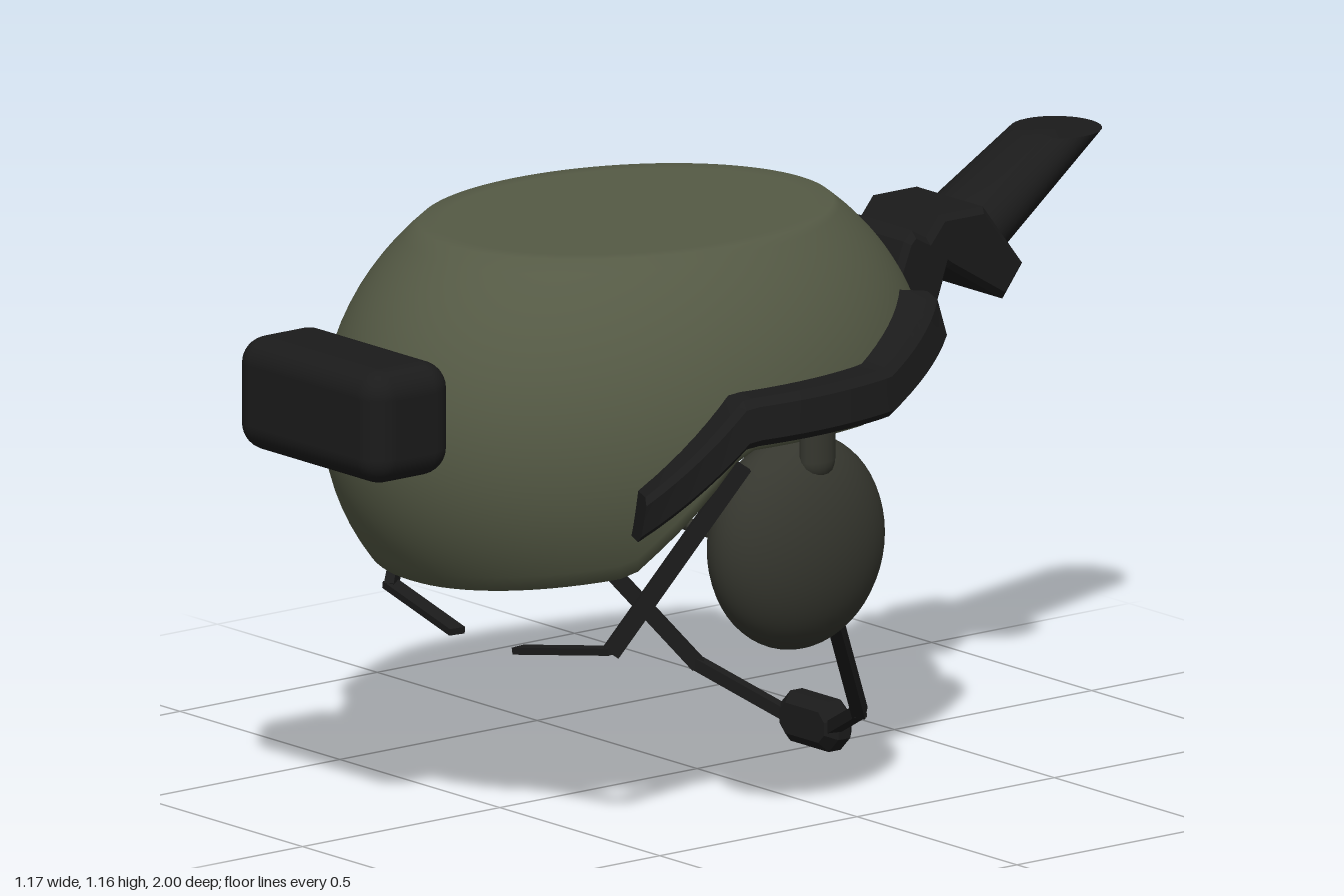
import * as THREE from 'three';
import { toCreasedNormals } from 'three/addons/utils/BufferGeometryUtils.js';
import { RoundedBoxGeometry } from 'three/addons/geometries/RoundedBoxGeometry.js';

const V = (x, y, z) => new THREE.Vector3(x, y, z);
const paint = (color) => new THREE.MeshStandardMaterial({ color });
const olive = paint(0x555a45), darkOlive = paint(0x36372f), black = paint(0x1b1b1b);

// Shell ellipsoid: centre height, centre depth, radii, height of the flat crown
const CY = 0.78, CZ = 0.18, RX = 0.51, RY = 0.52, RZ = 0.65, CROWN = 1.16;

// Piecewise linear lookup through [key, value...] rows with ascending keys
function lookup(rows, k) {
  let i = 0;
  while (i < rows.length - 2 && k > rows[i + 1][0]) i++;
  const t = THREE.MathUtils.clamp((k - rows[i][0]) / (rows[i + 1][0] - rows[i][0]), 0, 1);
  return rows[i].slice(1).map((v, n) => THREE.MathUtils.lerp(v, rows[i + 1][n + 1], t));
}

// Skin a list of closed rings
function loft(rings) {
  const n = rings[0].length, index = [];
  for (let i = 0; i < rings.length - 1; i++) {
    for (let j = 0; j < n; j++) {
      const a = i * n + j, b = i * n + (j + 1) % n;
      index.push(a, a + n, b + n, a, b + n, b);
    }
  }
  const g = new THREE.BufferGeometry().setFromPoints(rings.flat());
  g.setIndex(index);
  g.computeVertexNormals();
  return g;
}

// Close both ends of a loft with a fan
function capped(rings) {
  const fan = (r) => {
    const c = r.reduce((s, p) => s.add(p), V(0, 0, 0)).divideScalar(r.length);
    return r.map(() => c.clone());
  };
  return loft([fan(rings[0]), ...rings, fan(rings[rings.length - 1])]);
}

function add(parent, name, geometry, material, x = 0, y = 0, z = 0) {
  const m = new THREE.Mesh(geometry, material);
  m.name = name;
  m.position.set(x, y, z);
  parent.add(m);
  return m;
}

// Straight bar from a to b, slightly overlapping at the joints
function bar(parent, name, a, b, w, h, material, round = false) {
  const len = a.distanceTo(b) + 0.01;
  const g = round ? new THREE.CylinderGeometry(w / 2, h / 2, len, 12).rotateX(Math.PI / 2)
    : new THREE.BoxGeometry(w, h, len);
  const mid = a.clone().lerp(b, 0.5);
  add(parent, name, g, material, mid.x, mid.y, mid.z).lookAt(b);
}

// Rim height by depth: ear cut-outs raised, brow low, nape high
const RIM = [[-0.47, 0.91], [-0.27, 0.905], [-0.05, 0.787], [0.29, 0.787], [0.44, 0.6], [0.48, 0.54], [0.72, 0.497]];

function shellGeometry() {
  const N = 96, STEPS = 20;
  const azimuths = Array.from({ length: N }, (_, j) => j / N * Math.PI * 2);
  const rimY = azimuths.map((a) => {
    let y = 0.8;
    for (let k = 0; k < 60; k++) {
      const c = Math.sqrt(1 - ((y - CY) / RY) ** 2);
      y = (y + lookup(RIM, CZ + RZ * Math.cos(a) * c)[0]) / 2;
    }
    return y;
  });
  // Rings of one skin, from the middle of the crown down to the rim
  const skin = (inset) => {
    const top = CROWN - inset, ry = RY - inset, rings = [];
    const at = (a, y, f) => {
      const c = f * Math.sqrt(1 - ((y - CY) / ry) ** 2);
      return V((RX - inset) * Math.sin(a) * c, y, CZ + (RZ - inset) * Math.cos(a) * c);
    };
    for (const f of [0, 0.5, 0.9]) rings.push(azimuths.map((a) => at(a, top, f)));
    const p0 = Math.asin((top - CY) / ry);
    for (let i = 0; i <= STEPS; i++) {
      rings.push(azimuths.map((a, j) => {
        const p1 = Math.asin((rimY[j] - CY) / ry);
        return at(a, CY + ry * Math.sin(THREE.MathUtils.lerp(p0, p1, i / STEPS)), 1);
      }));
    }
    return rings;
  };
  return loft([...skin(0), ...skin(0.035).reverse()]);
}

// Side rail: a bevelled section following the shell
function railGeometry(s) {
  const path = [[-0.28, 0.905, 1.0], [-0.04, 0.81, 0.905], [0.31, 0.81, 0.905], [0.51, 0.63, 0.725]];
  const rings = [];
  for (let i = 0; i <= 28; i++) {
    const z = 0.505 - 0.765 * i / 28;
    const [lo, hi] = lookup(path, z);
    const point = (y, off) => {
      const c2 = 1 - ((y - CY) / RY) ** 2 - ((z - CZ) / RZ) ** 2;
      const x = RX * Math.sqrt(c2);
      const n = V(x / RX ** 2, 0, (z - CZ) / RZ ** 2).normalize();
      return V(s * (x + n.x * off), y, z + n.z * off);
    };
    rings.push([point(lo, -0.02), point(lo, 0.055), point(lo + 0.015, 0.07),
      point(hi - 0.015, 0.07), point(hi, 0.055), point(hi, -0.02)]);
  }
  return toCreasedNormals(capped(s > 0 ? rings : rings.reverse()), 0.6);
}

// Solid from a side outline of [z, y] corners, centred across x
function sideBlock(outline, width) {
  const shape = new THREE.Shape(outline.map(([z, y]) => new THREE.Vector2(-z, y)));
  const bevel = 0.012;
  return new THREE.ExtrudeGeometry(shape, {
    depth: width - 2 * bevel, bevelSize: bevel, bevelThickness: bevel, bevelOffset: -bevel, bevelSegments: 1,
  }).translate(0, 0, bevel - width / 2).rotateY(Math.PI / 2);
}

// Flared lamp body, cut off level at the top
function lampGeometry() {
  const ring = (z0, y0, z1, y1, w) => Array.from({ length: 32 }, (_, j) => {
    const t = j / 32 * Math.PI * 2, k = (1 + Math.sin(t)) / 2;
    return V(w * Math.cos(t), THREE.MathUtils.lerp(y0, y1, k), THREE.MathUtils.lerp(z0, z1, k));
  });
  return toCreasedNormals(capped([
    ring(-0.70, 0.91, -0.60, 1.04, 0.1),
    ring(-0.75, 0.955, -0.65, 1.065, 0.1),
    ring(-1.0, 1.158, -0.82, 1.158, 0.092),
  ]), 0.7);
}

export function createModel() {
  const model = new THREE.Group();
  model.name = 'helmet';

  add(model, 'shell', shellGeometry(), olive);
  add(model, 'frontPouch', new RoundedBoxGeometry(0.45, 0.23, 0.21, 4, 0.055), black, 0, 0.88, 0.895);

  // Rear mount and lamp
  add(model, 'rearMount', sideBlock([[-0.385, 0.88], [-0.51, 0.845], [-0.56, 0.985], [-0.46, 1.04], [-0.44, 1.02]], 0.23), black);
  add(model, 'rearClamp', sideBlock([[-0.48, 1.0], [-0.55, 0.95], [-0.69, 0.865], [-0.74, 0.93], [-0.64, 1.06], [-0.53, 1.06]], 0.23), black);
  add(model, 'rearLamp', lampGeometry(), black);

  // Mirrored side fittings
  for (const s of [1, -1]) {
    const side = new THREE.Group();
    side.name = s > 0 ? 'leftSide' : 'rightSide';
    model.add(side);
    add(side, 'rail', railGeometry(s), black);
    add(side, 'earCup', new THREE.SphereGeometry(1, 40, 28).scale(0.122, 0.218, 0.203), darkOlive, s * 0.463, 0.573, 0.125);
    add(side, 'earCupHanger', new THREE.CapsuleGeometry(0.04, 0.1, 6, 16).scale(0.7, 1, 1), darkOlive, s * 0.53, 0.80, 0.125);

    const front = [V(s * 0.485, 0.75, 0.28), V(s * 0.345, 0.385, 0.495), V(s * 0.1, 0.345, 0.53)];
    bar(side, 'frontStrap', front[0], front[1], 0.02, 0.035, black);
    bar(side, 'frontStrapEnd', front[1], front[2], 0.035, 0.014, black);

    const chin = [V(s * 0.43, 0.45, 0.02), V(s * 0.255, 0.133, -0.205), V(s * 0.05, 0.043, -0.295)];
    bar(side, 'chinStrap', chin[0], chin[1], 0.026, 0.03, black);
    bar(side, 'chinStrapEnd', chin[1], chin[2], 0.026, 0.024, black);
  }

  // Chin pad with cut corners
  const pad = new THREE.Shape([[-0.09, 0.03], [-0.06, 0], [0.06, 0], [0.09, 0.03], [0.09, 0.072], [0.06, 0.102], [-0.06, 0.102], [-0.09, 0.072]]
    .map(([x, y]) => new THREE.Vector2(x, y)));
  add(model, 'chinPad', new THREE.ExtrudeGeometry(pad, {
    depth: 0.03, bevelSize: 0.02, bevelOffset: -0.02, bevelThickness: 0.02, bevelSegments: 1,
  }), black, 0, 0, -0.315);

  // Microphone boom on the right cup
  const boom = [V(-0.43, 0.495, -0.02), V(-0.36, 0.385, -0.265), V(-0.15, 0.315, -0.412)];
  bar(model, 'microphoneBoom', boom[0], boom[1], 0.026, 0.026, darkOlive, true);
  bar(model, 'microphoneBoomEnd', boom[1], boom[2], 0.026, 0.026, darkOlive, true);
  add(model, 'microphone', new THREE.SphereGeometry(0.036, 20, 14), darkOlive, boom[2].x, boom[2].y, boom[2].z);

  return model;
}
